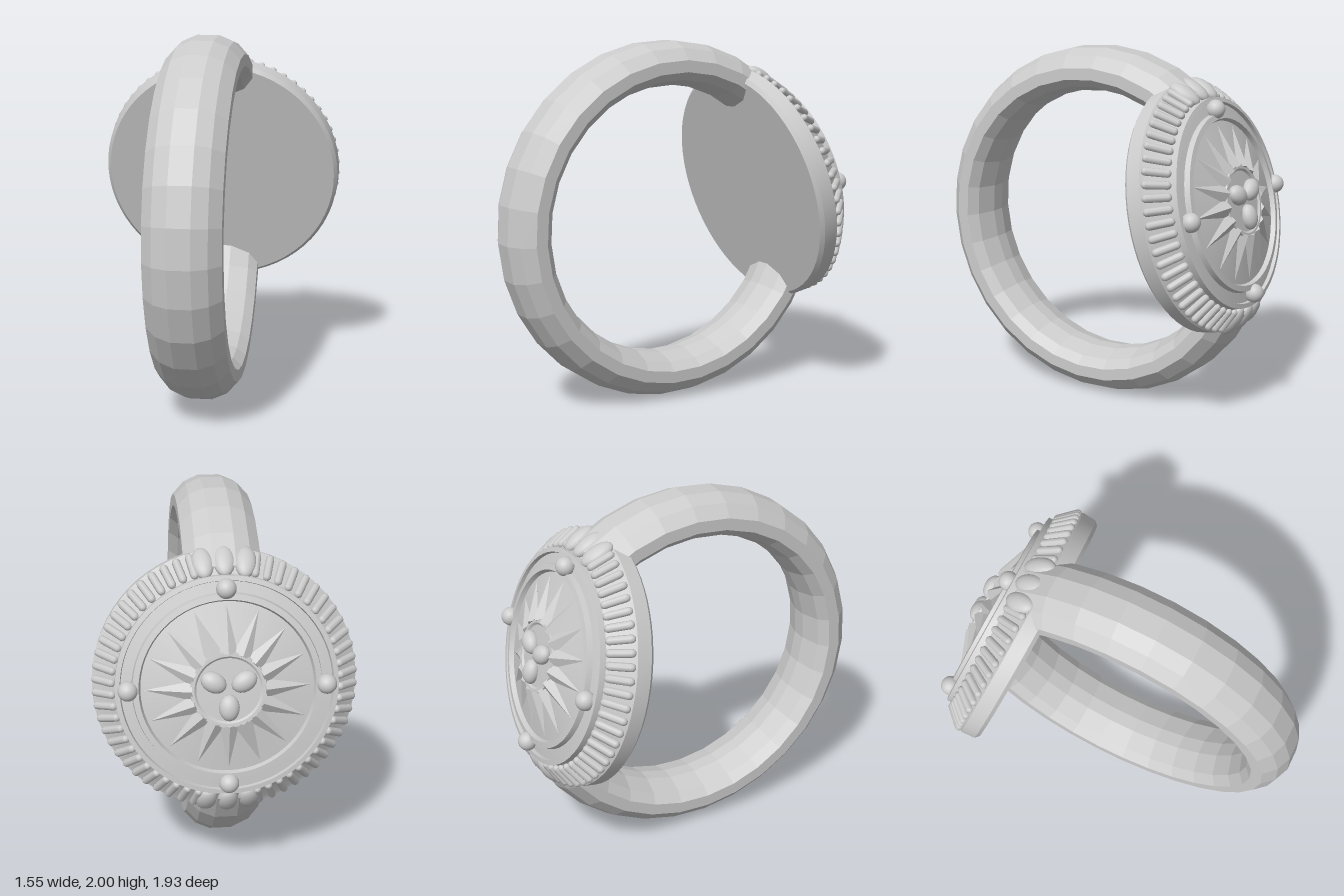
import * as THREE from 'three';
import { toCreasedNormals } from 'three/addons/utils/BufferGeometryUtils.js';

const rad = THREE.MathUtils.degToRad;
const smooth = new THREE.MeshStandardMaterial({ color: 0xcccccc });
const faceted = new THREE.MeshStandardMaterial({ color: 0xcccccc, flatShading: true });
const points = (list) => list.map(([r, y]) => new THREE.Vector2(r, y));

function addMesh(parent, name, geometry, material, position = [0, 0, 0], rotation = [0, 0, 0], scale = [1, 1, 1]) {
  const mesh = new THREE.Mesh(geometry, material);
  mesh.name = name;
  mesh.position.set(...position);
  mesh.rotation.set(...rotation);
  mesh.scale.set(...scale);
  parent.add(mesh);
  return mesh;
}

// A pivot turned about the medallion axis; its +x points outwards
function spoke(parent, name, degrees) {
  const pivot = new THREE.Group();
  pivot.name = name;
  pivot.rotation.y = -rad(degrees);
  parent.add(pivot);
  return pivot;
}

// Open finger band: a rounded section swept about the finger axis
function createBand() {
  const section = points([
    [0.90, -0.2], [0.965, -0.14], [1.0, -0.06], [1.0, 0.06], [0.965, 0.14], [0.90, 0.2],
    [0.835, 0.2], [0.79, 0.15], [0.757, 0.04], [0.757, -0.04], [0.79, -0.15], [0.835, -0.2], [0.90, -0.2],
  ]);
  const band = new THREE.LatheGeometry(section, 24, rad(-142), rad(284));
  band.rotateZ(Math.PI / 2);
  return band;
}

function createMedallion() {
  const medallion = new THREE.Group();
  medallion.name = 'medallion';

  // Turned body: flat back, upright rim, sloping border, channel and raised field
  const body = new THREE.LatheGeometry(points([
    [0, 0], [0.665, 0], [0.685, 0.02], [0.69, 0.1], [0.67, 0.115], [0.575, 0.215],
    [0.575, 0.25], [0.55, 0.255], [0.545, 0.235], [0.49, 0.245], [0.485, 0.275], [0.455, 0.28],
    [0.445, 0.255], [0.2, 0.31], [0.195, 0.33], [0.175, 0.33], [0.165, 0.32], [0, 0.325],
  ]), 64);
  addMesh(medallion, 'medallionBody', toCreasedNormals(body, rad(25)), smooth);

  // Ribs around the border, leaving room for the shoulder lobes
  const ribGeometry = new THREE.CapsuleGeometry(0.022, 0.115, 3, 8);
  const ribCount = 60;
  for (let i = 0; i < ribCount; i++) {
    const angle = (i + 0.5) * 360 / ribCount;
    if (Math.abs(Math.abs(angle - 180) - 90) < 14) continue;
    addMesh(spoke(medallion, 'borderRib', angle), 'rib', ribGeometry, smooth,
      [0.632, 0.165, 0], [0, 0, rad(44)]);
  }

  // Three larger lobes where each end of the band meets the border
  const lobeGeometry = new THREE.SphereGeometry(1, 16, 10);
  for (const side of [90, 270]) {
    for (const offset of [-10, 0, 10]) {
      addMesh(spoke(medallion, 'shoulderLobe', side + offset), 'lobe', lobeGeometry, smooth,
        [0.635, 0.165, 0], [0, 0, rad(44)], [0.04, 0.095, 0.056]);
    }
  }

  // Four beads set in the channel
  const beadGeometry = new THREE.SphereGeometry(0.052, 20, 14);
  for (let i = 0; i < 4; i++) {
    addMesh(spoke(medallion, 'channelBead', i * 90), 'bead', beadGeometry, smooth, [0.51, 0.27, 0]);
  }

  // Sunburst of ridged, pointed rays lying on the sloping field
  const rayGeometry = new THREE.ConeGeometry(1, 0.25, 4);
  for (let i = 0; i < 16; i++) {
    addMesh(spoke(medallion, 'sunRay', i * 22.5), 'ray', rayGeometry, faceted,
      [0.305, 0.286, 0], [0, 0, rad(-102)], [0.036, 1, 0.052]);
  }

  // Trefoil of oval petals at the centre
  const petalGeometry = new THREE.SphereGeometry(1, 16, 12);
  for (const angle of [30, 150, 270]) {
    addMesh(spoke(medallion, 'centrePetal', angle), 'petal', petalGeometry, smooth,
      [0.09, 0.335, 0], [0, 0, 0], [0.07, 0.045, 0.053]);
  }
  return medallion;
}

export function createModel() {
  const model = new THREE.Group();
  model.name = 'ring';

  // Turn the whole ring sideways and tip the medallion slightly upwards
  const ring = new THREE.Group();
  ring.name = 'tiltedRing';
  ring.position.set(-0.16, 1, 0.04);
  ring.rotation.set(rad(14.5), rad(-29), 0, 'YXZ');
  model.add(ring);

  addMesh(ring, 'band', createBand(), faceted);

  const medallion = createMedallion();
  medallion.position.z = -0.577;
  medallion.rotation.x = -Math.PI / 2;
  ring.add(medallion);
  return model;
}
